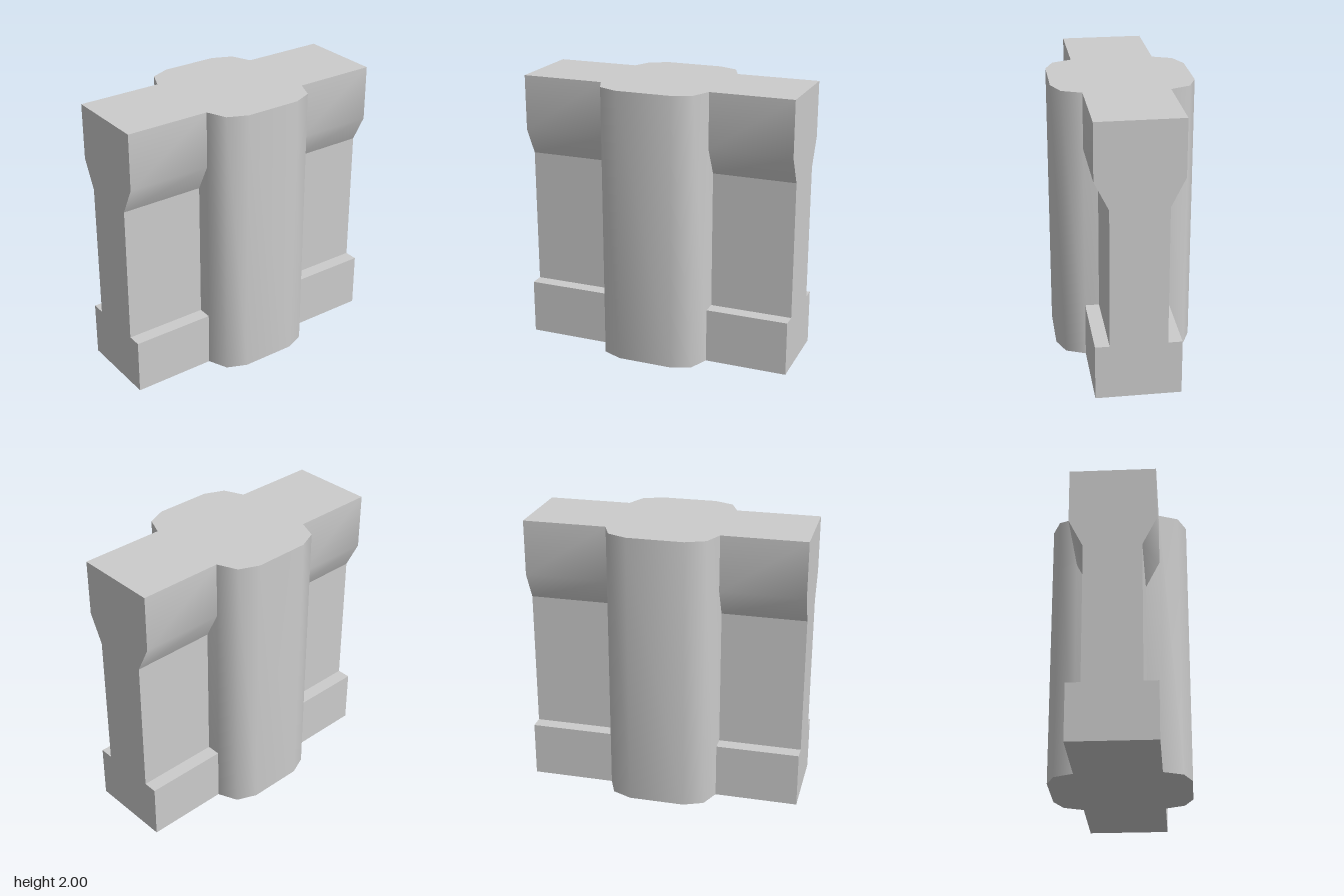
import * as THREE from 'three';
import { toCreasedNormals } from 'three/addons/utils/BufferGeometryUtils.js';

const material = new THREE.MeshStandardMaterial({ color: 0xcccccc });

// Extrudes a closed outline, smoothing only the soft facet edges
function prism(points, depth) {
  const shape = new THREE.Shape(points.map(([x, y]) => new THREE.Vector2(x, y)));
  const geometry = new THREE.ExtrudeGeometry(shape, { depth, bevelEnabled: false });
  return toCreasedNormals(geometry, THREE.MathUtils.degToRad(50));
}

function addPart(parent, name, geometry) {
  const mesh = new THREE.Mesh(geometry, material);
  mesh.name = name;
  parent.add(mesh);
}

// Mirrors half of an outline (right side, bottom to top) across x = 0
function symmetric(half) {
  return [...half, ...half.map(([x, y]) => [-x, y]).reverse()];
}

export function createModel() {
  const model = new THREE.Group();
  model.name = 'wallWithPillar';

  // Chamfered pillar running the full height
  const pillar = prism(symmetric([
    [0.2, -0.5], [0.34, -0.44], [0.4, -0.3],
    [0.4, 0.3], [0.34, 0.44], [0.2, 0.5],
  ]), 2);
  addPart(model, 'pillar', pillar.rotateX(-Math.PI / 2));

  // Wall sections as half profiles: plinth, recessed panel, flared head
  const sections = {
    Plinth: [[0.3, 0], [0.3, 0.4]],
    Panel: [[0.2, 0.4], [0.2, 1.4]],
    Head: [[0.2, 1.4], [0.3, 1.6], [0.3, 2]],
  };
  for (const [side, x] of [['left', 0.4], ['right', -1]]) {
    const wall = new THREE.Group();
    wall.name = side + 'Wall';
    for (const [name, half] of Object.entries(sections)) {
      const geometry = prism(symmetric(half), 0.6);
      addPart(wall, side + name, geometry.rotateY(Math.PI / 2).translate(x, 0, 0));
    }
    model.add(wall);
  }
  return model;
}
